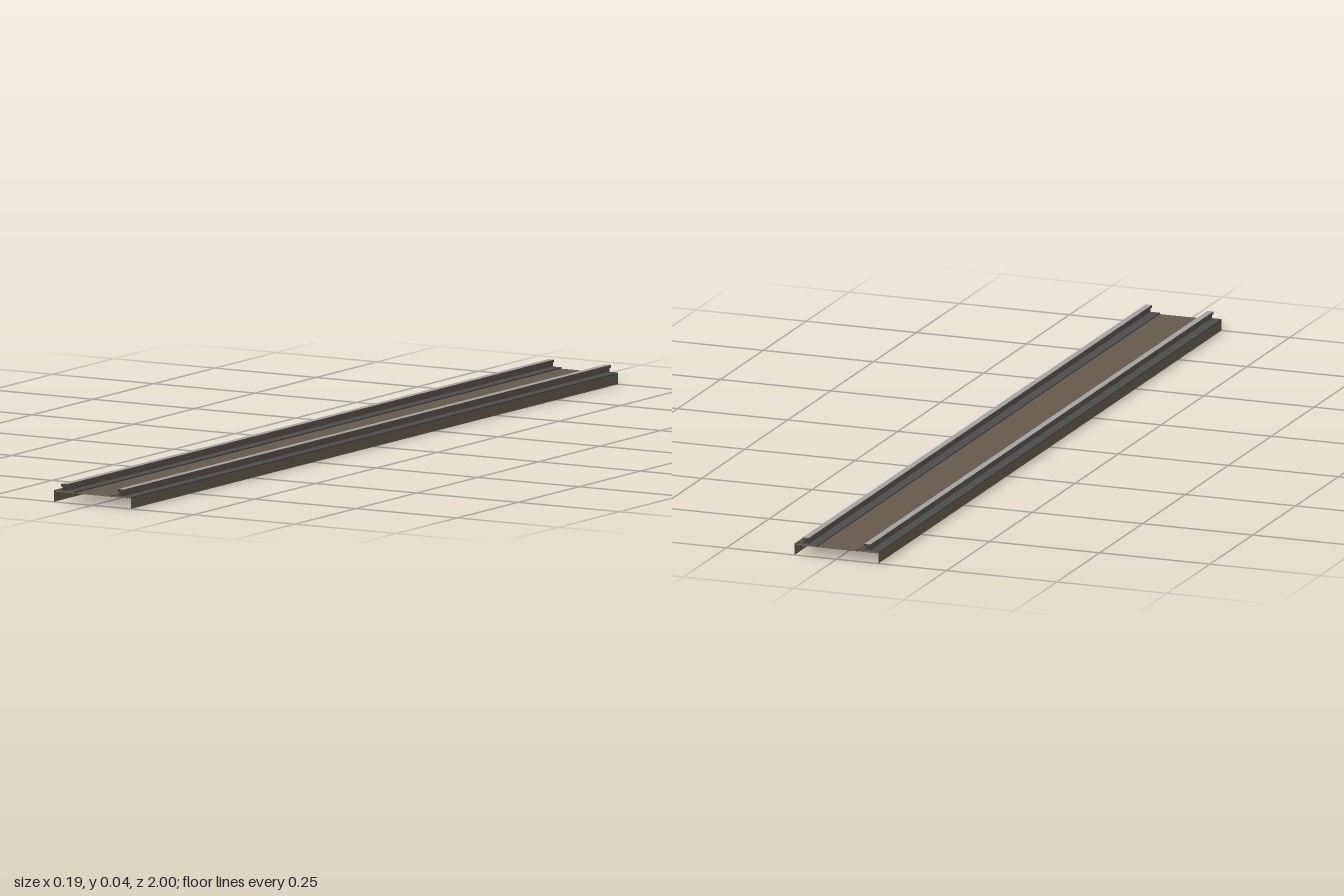
import * as THREE from 'three';

const HALF_LENGTH = 1;

// Sweeps an open cross-section [x, y] along z as flat strips, without end caps.
function strip(name, profile, material) {
  const positions = [];
  for (let i = 0; i < profile.length - 1; i++) {
    const [ax, ay] = profile[i];
    const [bx, by] = profile[i + 1];
    const a0 = [ax, ay, HALF_LENGTH], a1 = [ax, ay, -HALF_LENGTH];
    const b0 = [bx, by, HALF_LENGTH], b1 = [bx, by, -HALF_LENGTH];
    positions.push(...a0, ...b0, ...b1, ...a0, ...b1, ...a1);
  }
  const geometry = new THREE.BufferGeometry();
  geometry.setAttribute('position', new THREE.Float32BufferAttribute(positions, 3));
  geometry.computeVertexNormals();
  const mesh = new THREE.Mesh(geometry, material);
  mesh.name = name;
  return mesh;
}

function flatMaterial(name, color) {
  const material = new THREE.MeshStandardMaterial({ color, side: THREE.DoubleSide });
  material.name = name;
  return material;
}

export function createModel() {
  const bedBrown = flatMaterial('bedBrown', 0x64594a);
  const rustBrown = flatMaterial('rustBrown', 0x5c5046);
  const darkSteel = flatMaterial('darkSteel', 0x4c4c4c);
  const wornSteel = flatMaterial('wornSteel', 0xa0a2a4);

  const model = new THREE.Group();
  model.name = 'railTrack';

  // Track bed: a shallow upside-down channel, open underneath
  const w = 0.095, bedTop = 0.022;
  model.add(strip('trackBed', [[-w, 0], [-w, bedTop], [w, bedTop], [w, 0]], bedBrown));

  // Rails: flat dark foot, rusty web and head sides, bright running surface
  const footHalf = 0.025, footTop = 0.025, webHalf = 0.004;
  const headHalf = 0.007, headBottom = 0.034, headTop = 0.04;
  const webSide = [[webHalf, footTop], [webHalf, headBottom], [headHalf, headBottom], [headHalf, headTop]];
  for (const side of [-1, 1]) {
    const rail = new THREE.Group();
    rail.name = side > 0 ? 'leftRail' : 'rightRail';
    rail.position.x = side * 0.07;
    rail.add(strip('railFoot', [[-footHalf, bedTop], [-footHalf, footTop], [footHalf, footTop], [footHalf, bedTop]], darkSteel));
    rail.add(strip('rightWebAndHeadSide', webSide.map(([x, y]) => [-x, y]), rustBrown));
    rail.add(strip('leftWebAndHeadSide', [...webSide].reverse(), rustBrown));
    rail.add(strip('runningSurface', [[-headHalf, headTop], [headHalf, headTop]], wornSteel));
    model.add(rail);
  }
  return model;
}
